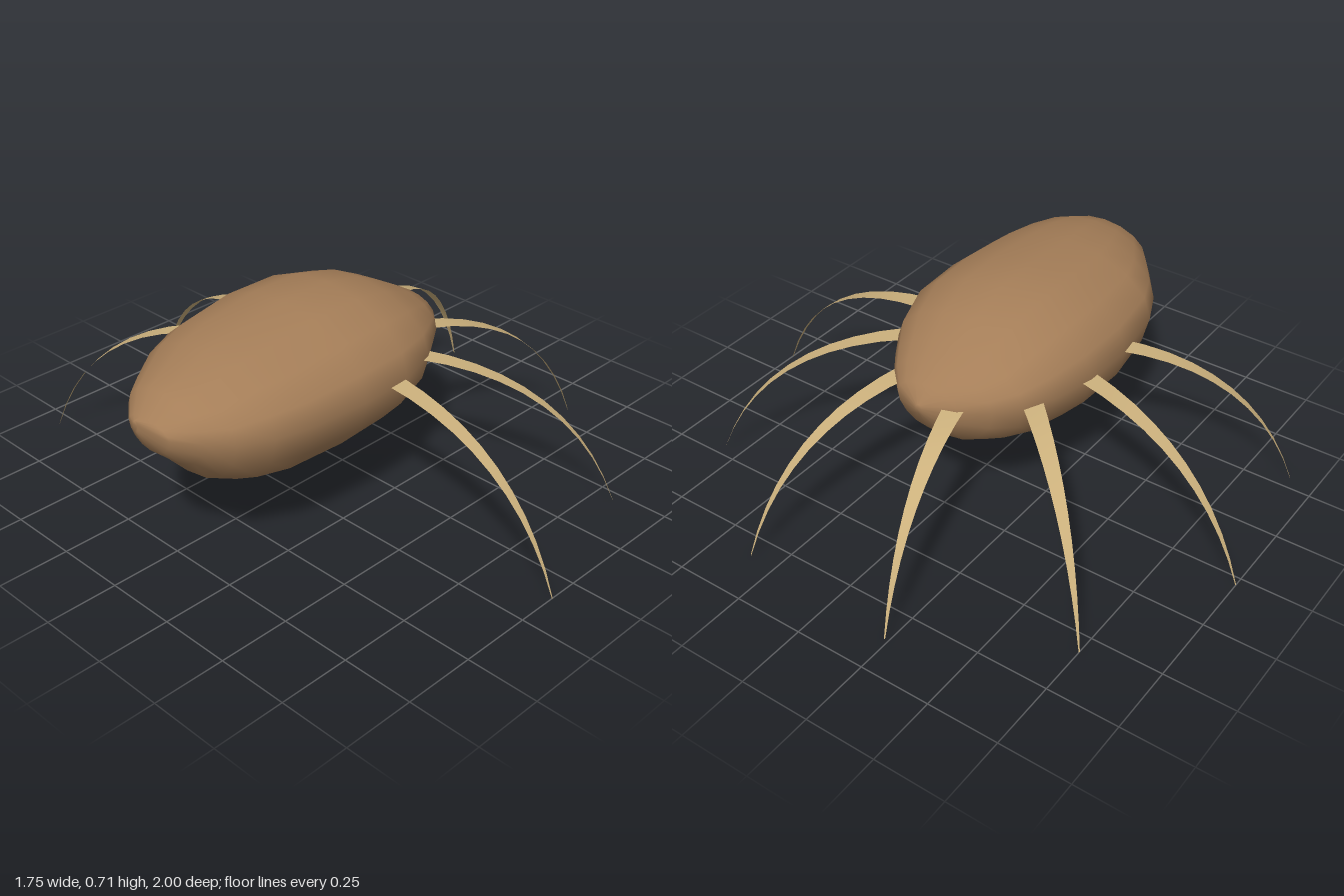
import * as THREE from 'three';

const SIDES = 16;

// Body cross-sections along x: [x, bottom, top, back z, front z, height of widest line]
const SECTIONS = [
  [-0.875, 0.5, 0.54, -0.01, 0.01, 0.525],
  [-0.86, 0.45, 0.555, -0.05, 0.14, 0.52],
  [-0.79, 0.385, 0.61, -0.14, 0.21, 0.51],
  [-0.72, 0.31, 0.635, -0.2, 0.275, 0.5],
  [-0.6, 0.245, 0.67, -0.29, 0.315, 0.49],
  [-0.48, 0.222, 0.685, -0.345, 0.345, 0.49],
  [-0.26, 0.216, 0.71, -0.38, 0.36, 0.49],
  [-0.06, 0.226, 0.71, -0.375, 0.35, 0.49],
  [0.1, 0.25, 0.67, -0.335, 0.295, 0.49],
  [0.2, 0.283, 0.62, -0.285, 0.23, 0.49],
  [0.27, 0.315, 0.583, -0.215, 0.18, 0.485],
  [0.335, 0.38, 0.545, -0.125, 0.115, 0.48],
  [0.372, 0.455, 0.49, -0.012, 0.012, 0.475],
];

// Legs: root x, root z, tip x, tip z
const LEGS = [
  [-0.105, 0.33, -0.105, 1.0],
  [0.08, 0.27, 0.46, 0.82],
  [0.25, 0.14, 0.83, 0.355],
  [0.31, -0.1, 0.87, -0.235],
  [0.14, -0.27, 0.57, -0.75],
  [-0.06, -0.35, 0.035, -1.0],
  [-0.275, -0.34, -0.55, -0.905],
];

function bodyGeometry() {
  const pos = [], index = [];
  for (const [x, bottom, top, back, front, mid] of SECTIONS) {
    for (let j = 0; j < SIDES; j++) {
      const a = (j / SIDES) * Math.PI * 2, s = Math.sin(a), c = Math.cos(a);
      const centre = (back + front) / 2;
      const y = mid + s * (s > 0 ? top - mid : mid - bottom);
      pos.push(x, y, centre + c * (front - back) / 2);
    }
  }
  const last = SECTIONS.length - 1;
  for (let i = 0; i < last; i++) {
    for (let j = 0; j < SIDES; j++) {
      const k = (j + 1) % SIDES;
      const a = i * SIDES + j, b = a + SIDES, c = i * SIDES + k, d = c + SIDES;
      index.push(a, b, c, c, b, d);
    }
  }
  // End caps
  for (let j = 1; j < SIDES - 1; j++) {
    const e = last * SIDES;
    index.push(0, j, j + 1, e, e + j + 1, e + j);
  }
  const geo = new THREE.BufferGeometry();
  geo.setAttribute('position', new THREE.Float32BufferAttribute(pos, 3));
  geo.setIndex(index);
  geo.computeVertexNormals();
  return geo;
}

// Flat ribbon that arches down from the body and tapers to a point
function legGeometry(rx, rz, tx, tz) {
  const root = new THREE.Vector3(rx, 0.495, rz), tip = new THREE.Vector3(tx, 0, tz);
  const bend = new THREE.Vector3().lerpVectors(root, tip, 0.75).setY(0.45);
  const curve = new THREE.QuadraticBezierCurve3(root, bend, tip);
  const side = new THREE.Vector3(tz - rz, 0, rx - tx).normalize();
  const pos = [], index = [], steps = 10;
  for (let i = 0; i <= steps; i++) {
    const t = i / steps, p = curve.getPoint(t);
    const half = THREE.MathUtils.lerp(0.036, 0.002, t);
    for (const s of [-half, half]) pos.push(p.x + side.x * s, p.y, p.z + side.z * s);
    if (i < steps) {
      const a = i * 2;
      index.push(a, a + 2, a + 1, a + 1, a + 2, a + 3);
    }
  }
  const geo = new THREE.BufferGeometry();
  geo.setAttribute('position', new THREE.Float32BufferAttribute(pos, 3));
  geo.setIndex(index);
  geo.computeVertexNormals();
  return geo;
}

export function createModel() {
  const model = new THREE.Group();

  const body = new THREE.Mesh(bodyGeometry(), new THREE.MeshStandardMaterial({ color: 0xa57e58 }));
  body.name = 'body';
  model.add(body);

  const legMaterial = new THREE.MeshStandardMaterial({ color: 0xcbb07c, side: THREE.DoubleSide });
  const legs = new THREE.Group();
  legs.name = 'legs';
  LEGS.forEach((leg, i) => {
    const mesh = new THREE.Mesh(legGeometry(...leg), legMaterial);
    mesh.name = `leg${i + 1}`;
    legs.add(mesh);
  });
  model.add(legs);
  return model;
}
